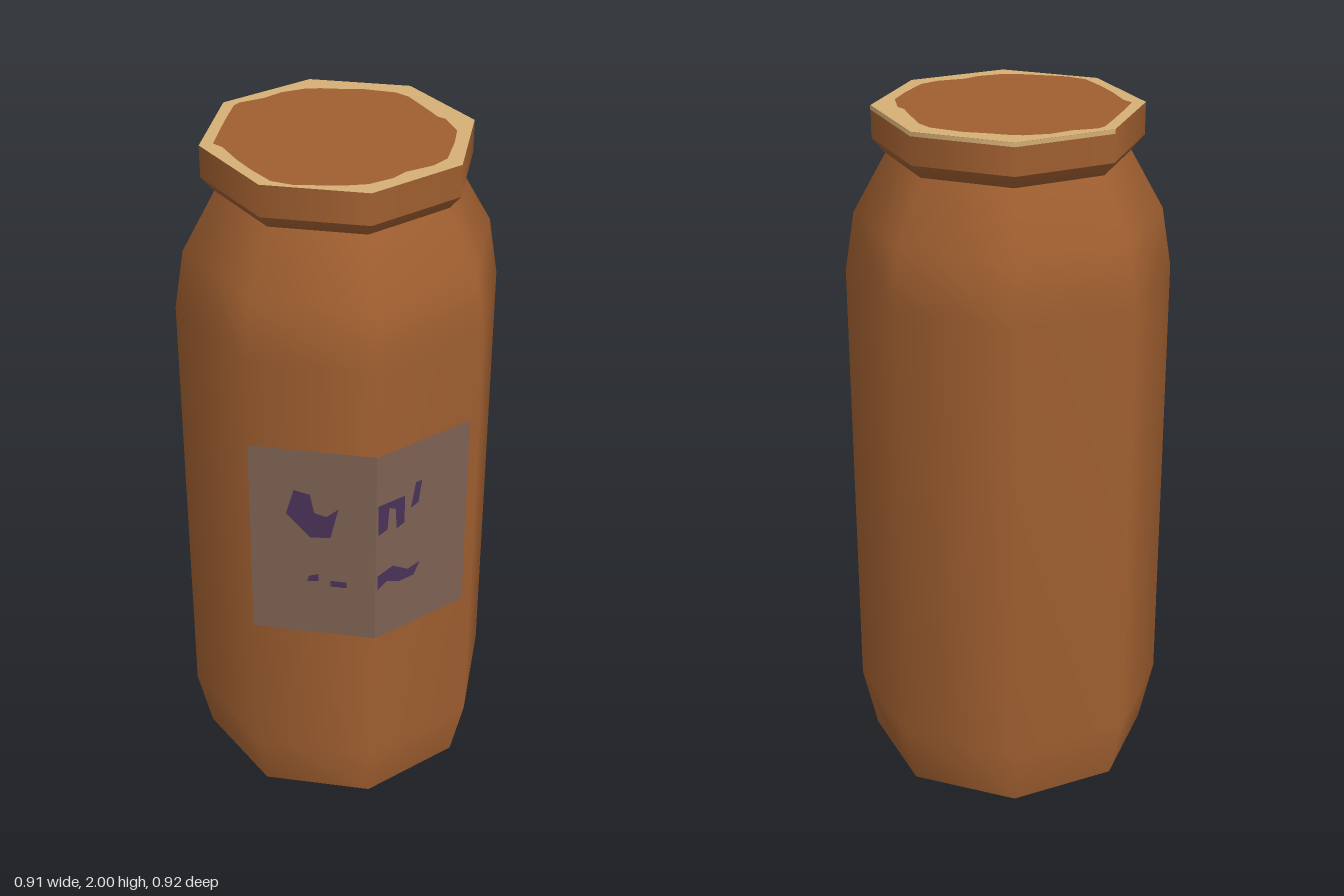
import * as THREE from 'three';

const SIDES = 8;
const TURN = -0.078; // slight twist of the octagon about y
const STEP = (Math.PI * 2) / SIDES;
const R = 0.458;
const LID_R = 0.373;

// Corner i of an octagon of radius r, as [x, z]
const corner = (r, i) => [r * Math.sin(TURN + i * STEP), r * Math.cos(TURN + i * STEP)];

export function createModel() {
  const group = new THREE.Group();
  const material = (name, color, side = THREE.FrontSide) => {
    const m = new THREE.MeshStandardMaterial({ color, side });
    m.name = name;
    return m;
  };
  const brown = material('brown glass', 0xa05f30);
  const cream = material('cream', 0xd6b075);
  const paper = material('label paper', 0x7d6052, THREE.DoubleSide);
  const ink = material('ink', 0x493358, THREE.DoubleSide);

  const add = (name, geometry, mat) => {
    const mesh = new THREE.Mesh(geometry, mat);
    mesh.name = name;
    group.add(mesh);
    return mesh;
  };
  const lathe = (points, first = 0, count = SIDES) =>
    new THREE.LatheGeometry(points.map(([x, y]) => new THREE.Vector2(x, y)), count, TURN + first * STEP, count * STEP);

  // Jar: base, rounded body and shoulder
  add('base', lathe([[0, 0], [0.416, 0]]), brown);
  add('body', lathe([[0.416, 0], [R, 0.19], [R, 1.53], [0.43, 1.7], [0.33, 1.88]]), brown);

  // Lid: sloped underside, upright rim
  add('lidUnderside', lathe([[0.32, 1.87], [0.34, 1.87], [LID_R, 1.91]]), brown);
  add('lidRim', lathe([[LID_R, 1.91], [LID_R, 2]]), brown);
  // Cream spilling over the back of the rim
  add('rimTrim', lathe([[LID_R + 0.001, 1.988], [LID_R + 0.001, 2]], 2, 3), cream);

  // Lid top: cream border around a wavy brown centre
  const wavy = [
    [0, -0.31], [0.04, -0.3], [0.09, -0.28], [0.15, -0.26], [0.23, -0.21], [0.255, -0.17], [0.27, -0.1],
    [0.285, -0.02], [0.3, 0], [0.303, 0.08], [0.27, 0.15], [0.22, 0.235], [0.17, 0.265], [0.09, 0.28],
    [0.05, 0.305], [-0.02, 0.32], [-0.08, 0.31], [-0.2, 0.27], [-0.25, 0.23], [-0.28, 0.15], [-0.3, 0.08],
    [-0.315, 0], [-0.333, -0.03], [-0.3, -0.1], [-0.26, -0.18], [-0.22, -0.255], [-0.2, -0.27],
    [-0.13, -0.28], [-0.07, -0.305],
  ].map(([x, z]) => new THREE.Vector2(x, -z));
  const border = new THREE.Shape(
    Array.from({ length: SIDES }, (_, i) => corner(LID_R, i)).map(([x, z]) => new THREE.Vector2(x, -z)),
  );
  border.holes.push(new THREE.Path(wavy));
  const flat = (shape) => new THREE.ShapeGeometry(shape).rotateX(-Math.PI / 2).translate(0, 2, 0);
  add('lidBorder', flat(border), cream);
  add('lidCentre', flat(new THREE.Shape(wavy)), brown);

  // Label folded over the two front facets
  const [foldX, foldZ] = corner(R, 0);
  const onFacet = (points, offset) => {
    const g = new THREE.ShapeGeometry(new THREE.Shape(points.map(([x, y]) => new THREE.Vector2(x, y))));
    const middle = points.reduce((sum, p) => sum + p[0], 0) / points.length;
    const [endX, endZ] = corner(R, middle < foldX ? -1 : 1);
    const slope = (endZ - foldZ) / (endX - foldX);
    const pos = g.attributes.position;
    for (let i = 0; i < pos.count; i++) pos.setZ(i, foldZ + slope * (pos.getX(i) - foldX) + offset);
    g.computeVertexNormals();
    return g;
  };
  const panel = (x0, x1) => [[x0, 0.645], [x1, 0.645], [x1, 1.27], [x0, 1.27]];
  add('labelRight', onFacet(panel(-0.35, foldX), 0.006), paper);
  add('labelLeft', onFacet(panel(foldX, 0.265), 0.006), paper);

  // Abstract ink smudges on the label
  const smudges = [
    [[-0.26, 1.06], [-0.2, 0.985], [-0.15, 0.99], [-0.13, 1.09], [-0.16, 1.06], [-0.19, 1.07], [-0.2, 1.13], [-0.24, 1.14]],
    [[-0.21, 0.83], [-0.18, 0.835], [-0.18, 0.86], [-0.205, 0.85]],
    [[-0.15, 0.82], [-0.11, 0.82], [-0.11, 0.84], [-0.15, 0.84]],
    [[-0.03, 1.01], [0, 1.02], [0.005, 1.09], [0.025, 1.08], [0.03, 1.01], [0.055, 1.02], [0.055, 1.11], [-0.03, 1.11]],
    [[0.075, 1.06], [0.1, 1.07], [0.11, 1.14], [0.09, 1.14]],
    [[-0.03, 0.82], [0, 0.84], [0.04, 0.82], [0.09, 0.82], [0.11, 0.86], [0.07, 0.85], [0.02, 0.885], [-0.03, 0.87]],
  ];
  smudges.forEach((points, i) => add(`inkMark${i + 1}`, onFacet(points, 0.01), ink));

  return group;
}
